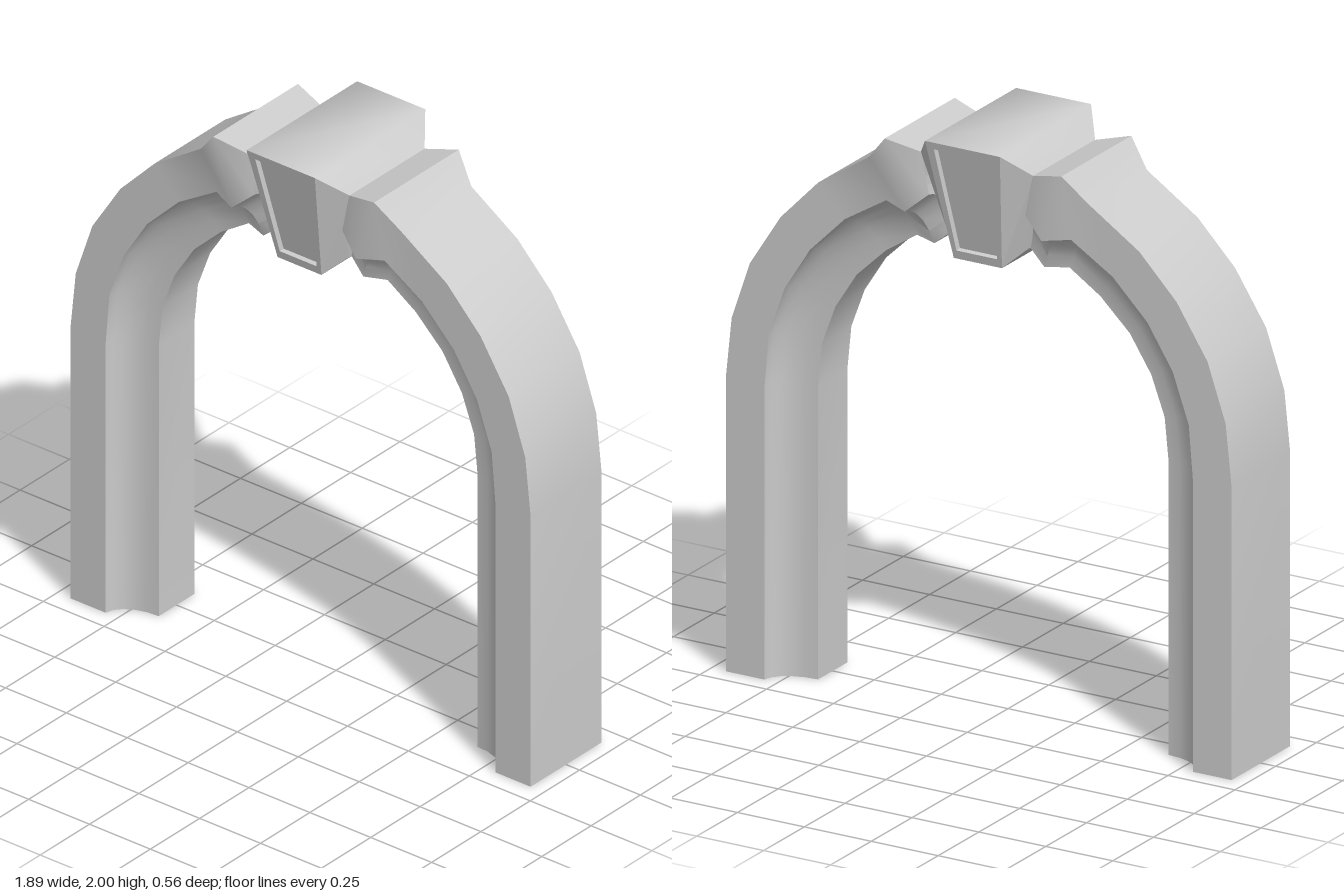
import * as THREE from 'three';
import { toCreasedNormals } from 'three/addons/utils/BufferGeometryUtils.js';

// Geometry from a list of four-cornered faces, smooth below the crease angle
function quads(faces, crease) {
  const pos = [];
  for (const [a, b, c, d] of faces) pos.push(...a, ...b, ...c, ...a, ...c, ...d);
  const g = new THREE.BufferGeometry();
  g.setAttribute('position', new THREE.Float32BufferAttribute(pos, 3));
  g.computeVertexNormals();
  return crease ? toCreasedNormals(g, crease) : g;
}

// Stations along half the arch: outer xy, middle xy, inner xy, face depth, inner depth
const stations = [
  [0.945, 0, 0.80, 0, 0.655, 0, 0.18, 0.09],
  [0.945, 1.0, 0.80, 1.0, 0.655, 1.0, 0.18, 0.09],
  [0.923, 1.21, 0.785, 1.18, 0.64, 1.15, 0.18, 0.09],
  [0.855, 1.41, 0.725, 1.35, 0.59, 1.285, 0.18, 0.09],
  [0.74, 1.59, 0.63, 1.50, 0.51, 1.41, 0.18, 0.09],
  [0.60, 1.735, 0.50, 1.63, 0.40, 1.515, 0.18, 0.09],
  [0.41, 1.86, 0.345, 1.725, 0.285, 1.59, 0.18, 0.09],
  // swelling beside the keystone
  [0.33, 1.95, 0.255, 1.715, 0.205, 1.585, 0.215, 0.115],
  [0.208, 1.92, 0.18, 1.78, 0.138, 1.64, 0.19, 0.10],
];

// Closed section: flat outer band, then a hollow cove to the narrow inner face
function section([ox, oy, mx, my, ix, iy, zFace, zInner]) {
  const cove = [];
  const steps = 5;
  for (let k = 0; k <= steps; k++) {
    const a = (k / steps) * Math.PI / 2;
    const f = 1 - Math.cos(a);
    cove.push([mx + (ix - mx) * f, my + (iy - my) * f, zFace + (zInner - zFace) * Math.sin(a)]);
  }
  const back = cove.map(([x, y, z]) => [x, y, -z]);
  return [[ox, oy, zFace], [ox, oy, -zFace], ...back, ...cove.reverse()];
}

function archHalf(side) {
  const rings = stations.map(s => section(s).map(([x, y, z]) => [x * side, y, z]));
  const faces = [];
  for (let s = 0; s < rings.length - 1; s++) {
    const n = rings[s].length;
    for (let i = 0; i < n; i++) {
      const j = (i + 1) % n;
      const f = [rings[s][i], rings[s][j], rings[s + 1][j], rings[s + 1][i]];
      faces.push(side > 0 ? f : f.reverse());
    }
  }
  return quads(faces, 0.7);
}

// Keystone corners, mirrored with sx and sz
const top = (sx, sz = 1) => [0.14 * sx, 2, 0.28 * sz];
const shoulder = (sx, sz = 1) => [0.21 * sx, 1.92, 0.19 * sz];
const hip = (sx, sz = 1) => [0.147 * sx, 1.635, 0.125 * sz];
const foot = (sx, sz = 1) => [0.09 * sx, 1.58, 0.185 * sz];

// Front of the keystone with its sunken panel, bevels and one side
function keystoneHalf() {
  const point = (x, y, depth) => [x, y, 0.28 - 0.095 * (2 - y) / 0.42 - depth];
  const outline = (inset, depth) => [
    point(-0.076 + inset, 1.61 + inset, depth), point(0.076 - inset, 1.61 + inset, depth),
    point(0.11 - inset, 1.975 - inset, depth), point(-0.11 + inset, 1.975 - inset, depth),
  ];
  const loops = [[foot(-1), foot(1), top(1), top(-1)], outline(0, 0), outline(0.005, 0.015)];
  const faces = [loops[2]];
  for (let l = 0; l < 2; l++) {
    for (let i = 0; i < 4; i++) {
      const j = (i + 1) % 4;
      faces.push([loops[l][i], loops[l][j], loops[l + 1][j], loops[l + 1][i]]);
    }
  }
  faces.push([foot(1), hip(1), shoulder(1), top(1)]);
  faces.push([hip(-1), foot(-1), top(-1), shoulder(-1)]);
  faces.push([hip(1), hip(1, -1), shoulder(1, -1), shoulder(1)]);
  return quads(faces);
}

// Strip running across the keystone between two edges
function strip(points, crease) {
  const faces = [];
  for (let i = 0; i < points.length - 1; i++) {
    const [p, a] = points[i], [q, b] = points[i + 1];
    faces.push([p(a), q(b), q(b, -1), p(a, -1)]);
  }
  return quads(faces, crease);
}

export function createModel() {
  const group = new THREE.Group();
  const stone = new THREE.MeshStandardMaterial({ color: 0xcccccc });
  stone.name = 'stone';
  stone.side = THREE.DoubleSide;

  const add = (name, geometry) => {
    const mesh = new THREE.Mesh(geometry, stone);
    mesh.name = name;
    group.add(mesh);
    return mesh;
  };

  add('leftArch', archHalf(1));
  add('rightArch', archHalf(-1));

  const half = keystoneHalf();
  add('keystoneFront', half);
  add('keystoneBack', half).rotation.y = Math.PI;
  add('keystoneTop', strip([[shoulder, -1], [top, -1], [top, 1], [shoulder, 1]], 1));
  add('keystoneBottom', strip([[hip, 1], [foot, 1], [foot, -1], [hip, -1]]));
  return group;
}
